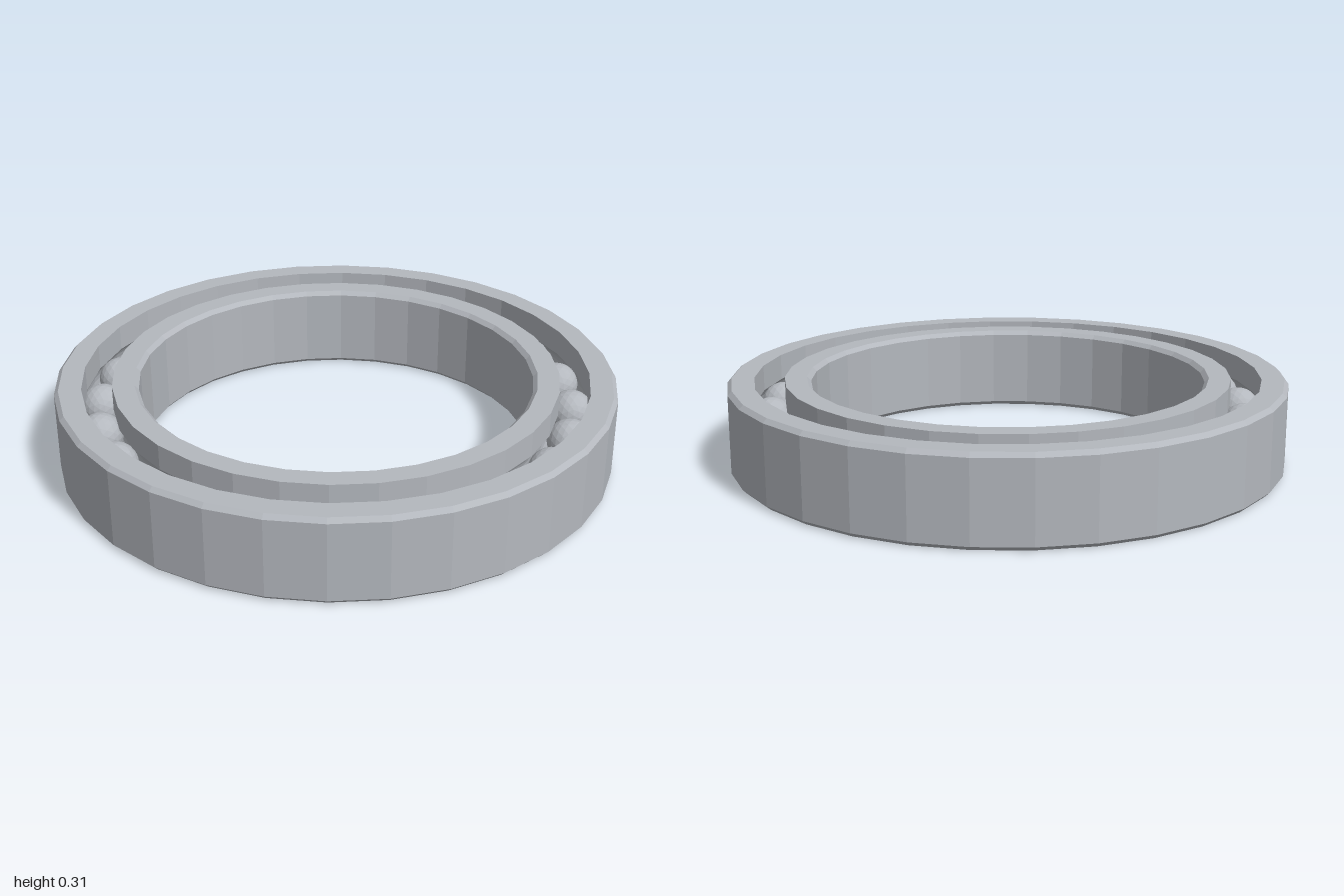
import * as THREE from 'three';

const H = 0.31, MID = H / 2, SIDES = 32;
const PITCH = 0.85, BALL_R = 0.08, BALLS = 24;

// points of the ball groove in a race wall; side = 1 outer wall, -1 inner wall
function groove(wall, side) {
  const r = BALL_R + 0.003, a = Math.acos(Math.abs(wall - PITCH) / r), pts = [];
  for (let i = 0; i <= 8; i++) {
    const t = a * (1 - i / 4); // top to bottom
    pts.push([PITCH + side * r * Math.cos(t), MID + r * Math.sin(t)]);
  }
  return side > 0 ? pts : pts.reverse();
}

// closed profile, counter-clockwise in (radius, y)
function ring(name, profile, material) {
  const pts = [...profile, profile[0]].map(([x, y]) => new THREE.Vector2(x, y));
  const mesh = new THREE.Mesh(new THREE.LatheGeometry(pts, SIDES), material);
  mesh.name = name;
  return mesh;
}

export function createModel() {
  const steel = new THREE.MeshStandardMaterial({ color: 0xb4b8be, flatShading: true });
  steel.name = 'steel';
  const model = new THREE.Group();
  model.name = 'ballBearing';
  const c = 0.015; // chamfer

  // outer race: chamfered outside, grooved inside
  model.add(ring('outerRace', [
    [1 - c, 0], [1, c], [1, H - c], [1 - c, H],
    [0.905, H], ...groove(0.905, 1), [0.905, 0],
  ], steel));

  // inner race: chamfered bore, grooved outside
  model.add(ring('innerRace', [
    [0.72, 0], [0.798, 0], ...groove(0.798, -1), [0.798, H],
    [0.72, H], [0.72 - c, H - c], [0.72 - c, c],
  ], steel));

  // balls spaced evenly between the races
  const balls = new THREE.Group();
  balls.name = 'balls';
  const ballGeometry = new THREE.IcosahedronGeometry(BALL_R, 3);
  for (let i = 0; i < BALLS; i++) {
    const a = (i / BALLS) * Math.PI * 2;
    const ball = new THREE.Mesh(ballGeometry, steel);
    ball.name = 'ball';
    ball.position.set(PITCH * Math.cos(a), MID, PITCH * Math.sin(a));
    balls.add(ball);
  }
  model.add(balls);
  return model;
}
